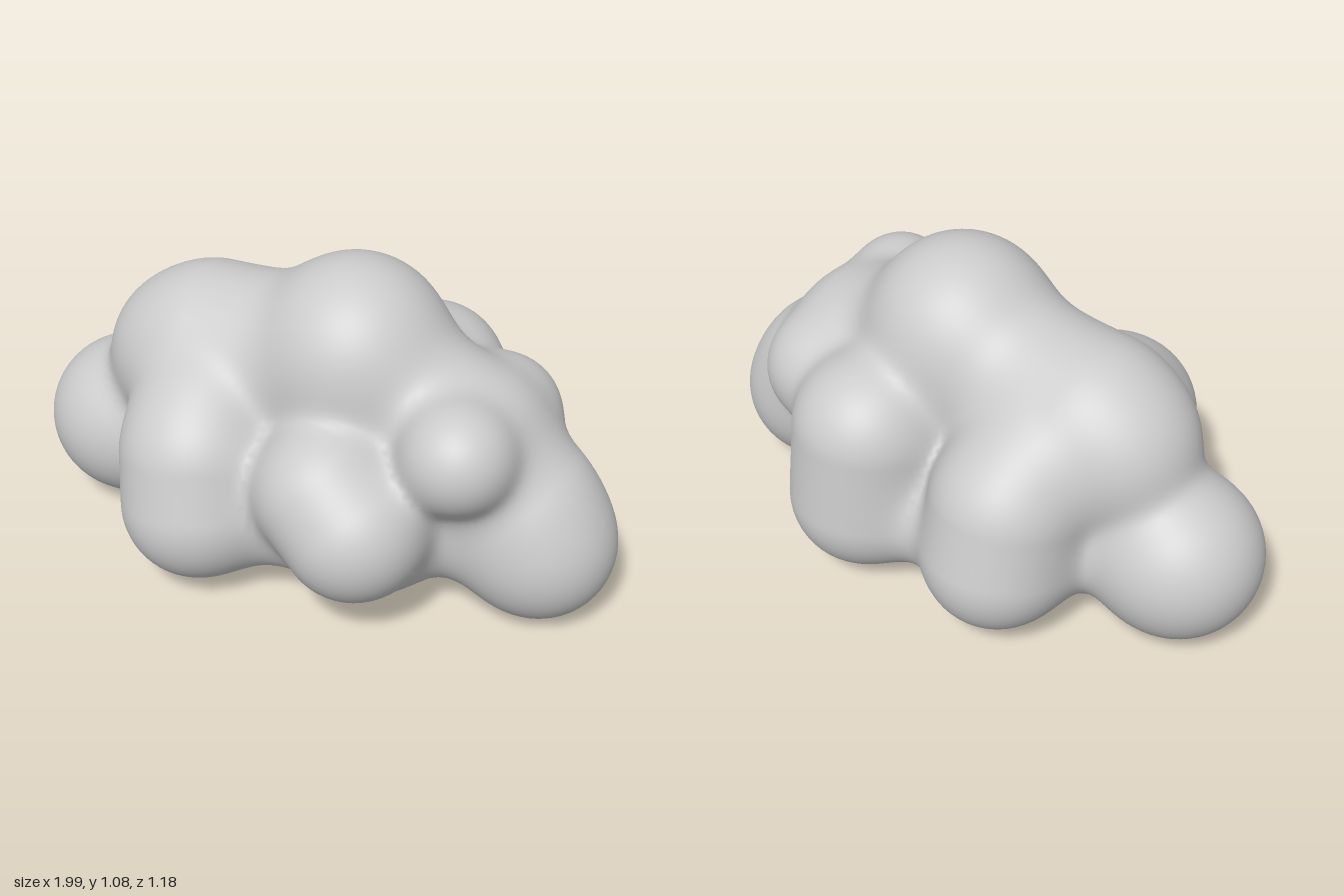
import * as THREE from 'three';

// Puffs of the cloud: [x, y, z, radius, (second centre x, y, z for a stretched puff)]
const PUFFS = [
  // ends
  [-0.73, 0.29, 0, 0.265],
  [0.755, 0.245, 0, 0.238],
  // crown and ridge
  [0.112, 0.79, 0, 0.285],
  [-0.38, 0.665, 0, 0.258, 0.08, 0.7, 0],
  [-0.49, 0.605, 0, 0.247],
  // core and underside
  [-0.28, 0.275, -0.2, 0.225, -0.28, 0.275, 0.2],
  [0.27, 0.27, -0.22, 0.225, 0.27, 0.275, 0.15],
  [-0.6, 0.275, 0, 0.2, 0.65, 0.275, 0, 0.2],
  // webs between the lower lobes
  [-0.25, 0.255, 0.26, 0.165, 0.22, 0.265, 0.22],
  [-0.25, 0.255, -0.28, 0.165, 0.22, 0.255, -0.28],
  // right shoulder with its two knobs
  [0.16, 0.74, 0, 0.22, 0.5, 0.575, 0],
  [0.54, 0.51, 0, 0.225, 0.69, 0.38, 0, 0.2],
  [0.555, 0.635, 0.22, 0.168],
  [0.53, 0.545, -0.2, 0.185],
  // front lobes
  [-0.27, 0.29, 0.35, 0.24, -0.29, 0.44, 0.31],
  [-0.31, 0.55, 0.225, 0.2],
  [0.28, 0.37, 0.355, 0.222, 0.17, 0.45, 0.32],
  // back lobes
  [-0.29, 0.29, -0.35, 0.228, -0.29, 0.46, -0.31],
  [-0.31, 0.57, -0.2, 0.2],
  [0.24, 0.275, -0.355, 0.237, 0.23, 0.53, -0.335],
];
const BLEND = 0.038;

// Signed distance to the softly merged puffs
function field(x, y, z) {
  let sum = 0;
  for (const [ax, ay, az, r, bx = ax, by = ay, bz = az] of PUFFS) {
    const dx = bx - ax, dy = by - ay, dz = bz - az;
    const len = dx * dx + dy * dy + dz * dz;
    let t = len ? ((x - ax) * dx + (y - ay) * dy + (z - az) * dz) / len : 0;
    t = Math.min(1, Math.max(0, t));
    const d = Math.hypot(x - ax - t * dx, y - ay - t * dy, z - az - t * dz) - r;
    sum += Math.exp(-d / BLEND);
  }
  return -BLEND * Math.log(sum + 1e-30);
}

function gradient(p) {
  const e = 0.004;
  return new THREE.Vector3(
    field(p.x + e, p.y, p.z) - field(p.x - e, p.y, p.z),
    field(p.x, p.y + e, p.z) - field(p.x, p.y - e, p.z),
    field(p.x, p.y, p.z + e) - field(p.x, p.y, p.z - e),
  ).divideScalar(2 * e);
}

// Skin the field: one vertex per grid cell crossed by the surface, one quad per crossed edge
function skin(min, max, step) {
  const n = [0, 1, 2].map((a) => Math.ceil((max[a] - min[a]) / step) + 1);
  const stride = [1, n[0], n[0] * n[1]];
  const values = new Float32Array(n[0] * n[1] * n[2]);
  const each = (from, fn) => {
    for (let k = from; k < n[2] - 1; k++)
      for (let j = from; j < n[1] - 1; j++)
        for (let i = from; i < n[0] - 1; i++) fn(i, j, k, i + j * stride[1] + k * stride[2]);
  };
  for (let id = 0; id < values.length; id++) {
    const i = id % n[0], j = Math.floor(id / n[0]) % n[1], k = Math.floor(id / stride[2]);
    values[id] = field(min[0] + i * step, min[1] + j * step, min[2] + k * step);
  }

  const positions = [], normals = [], index = [], vertexOf = new Map();
  each(0, (i, j, k, id) => {
    let inside = 0;
    for (let c = 0; c < 8; c++) {
      const corner = id + (c & 1) + ((c >> 1) & 1) * stride[1] + (c >> 2) * stride[2];
      if (values[corner] < 0) inside++;
    }
    if (inside === 0 || inside === 8) return;
    const p = new THREE.Vector3(i + 0.5, j + 0.5, k + 0.5).multiplyScalar(step);
    p.add(new THREE.Vector3(...min));
    // Slide the vertex onto the surface
    for (let s = 0; s < 4; s++) {
      const g = gradient(p);
      p.addScaledVector(g, -field(p.x, p.y, p.z) / Math.max(g.lengthSq(), 0.3));
    }
    vertexOf.set(id, positions.length / 3);
    positions.push(p.x, p.y, p.z);
    normals.push(...gradient(p).normalize().toArray());
  });

  each(1, (i, j, k, id) => {
    for (let a = 0; a < 3; a++) {
      const inA = values[id] < 0, inB = values[id + stride[a]] < 0;
      if (inA === inB) continue;
      const b = stride[(a + 1) % 3], c = stride[(a + 2) % 3];
      const q = [id - b - c, id - c, id, id - b].map((cell) => vertexOf.get(cell));
      if (!inA) q.reverse();
      index.push(q[0], q[1], q[2], q[0], q[2], q[3]);
    }
  });

  const geometry = new THREE.BufferGeometry();
  geometry.setAttribute('position', new THREE.Float32BufferAttribute(positions, 3));
  geometry.setAttribute('normal', new THREE.Float32BufferAttribute(normals, 3));
  geometry.setIndex(index);
  return geometry;
}

export function createModel() {
  const group = new THREE.Group();
  group.name = 'cloud';
  const geometry = skin([-1.1, -0.1, -0.72], [1.1, 1.2, 0.72], 0.025);
  const body = new THREE.Mesh(geometry, new THREE.MeshStandardMaterial({ color: 0xcccccc }));
  body.name = 'cloudBody';
  group.add(body);
  return group;
}
